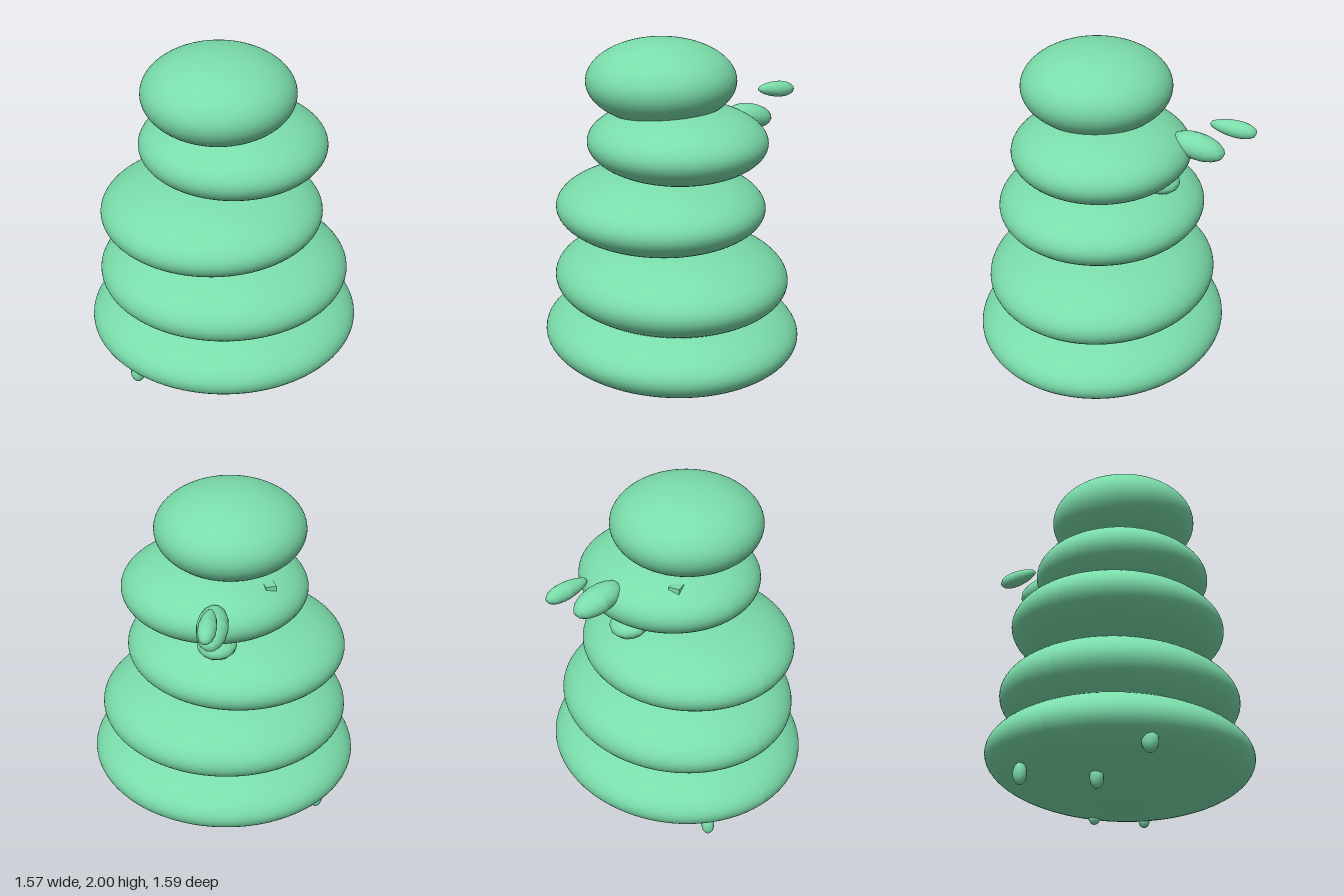
import * as THREE from 'three';

const jade = new THREE.MeshStandardMaterial({ color: 0x7adcaa });
jade.name = 'jadeGreen';

// Ellipsoid with given centre and radii; taper widens the +z end (negative: the -z end)
function ellipsoid(name, centre, radii, { seg = [64, 40], tilt = 0, taper = 0 } = {}) {
  const geo = new THREE.SphereGeometry(1, seg[0], seg[1]);
  const p = geo.attributes.position;
  for (let i = 0; i < p.count; i++) {
    const k = 1 + taper * p.getZ(i);
    p.setXYZ(i, p.getX(i) * radii[0] * k, p.getY(i) * radii[1] * k, p.getZ(i) * radii[2]);
  }
  geo.computeVertexNormals();
  const mesh = new THREE.Mesh(geo, jade);
  mesh.name = name;
  mesh.position.set(...centre);
  mesh.rotation.x = tilt;
  return mesh;
}

export function createModel() {
  const model = new THREE.Group();
  model.name = 'stackedBody';

  // Flattened body segments, bottom to top, and the head
  const body = [
    ['bodySegment1', [0, 0.29, 0.075], [0.787, 0.262, 0.722]],
    ['bodySegment2', [0, 0.625, 0.075], [0.722, 0.265, 0.655]],
    ['bodySegment3', [-0.07, 1.03, 0.1], [0.63, 0.236, 0.592]],
    ['bodySegment4', [0.05, 1.43, 0.06], [0.525, 0.22, 0.5]],
    ['head', [-0.03, 1.765, 0.115], [0.42, 0.235, 0.42]],
  ];
  for (const [name, c, r] of body) model.add(ellipsoid(name, c, r, { seg: [80, 48] }));

  // Tail pieces rising behind the body
  const seg = [14, 10];
  model.add(ellipsoid('tailBase', [0, 1.25, -0.27], [0.11, 0.065, 0.11], { seg, tilt: -0.1 }));
  model.add(ellipsoid('tailMiddle', [0, 1.495, -0.475], [0.085, 0.072, 0.155], { seg, tilt: -0.22 }));
  model.add(ellipsoid('tailTip', [0, 1.632, -0.665], [0.048, 0.046, 0.13], { seg, tilt: -0.1, taper: -0.2 }));

  // Small feet around the underside
  const feet = [
    [[-0.5, 0.17, 0.525], [0.042, 0.062, 0.045]],
    [[-0.59, 0.095, -0.18], [0.037, 0.06, 0.037]],
    [[-0.43, 0.06, 0.18], [0.04, 0.06, 0.035]],
    [[0.455, 0.08, -0.035], [0.032, 0.04, 0.032]],
    [[0.2, 0.06, -0.215], [0.032, 0.036, 0.032]],
  ];
  feet.forEach(([c, r], i) => model.add(ellipsoid('foot' + (i + 1), c, r, { seg })));

  // Small block on the back of the fourth segment
  const block = new THREE.Mesh(new THREE.BoxGeometry(0.06, 0.05, 0.06), jade);
  block.name = 'backNub';
  block.position.set(-0.27, 1.56, -0.16);
  block.rotation.y = 0.4;
  model.add(block);

  return model;
}
